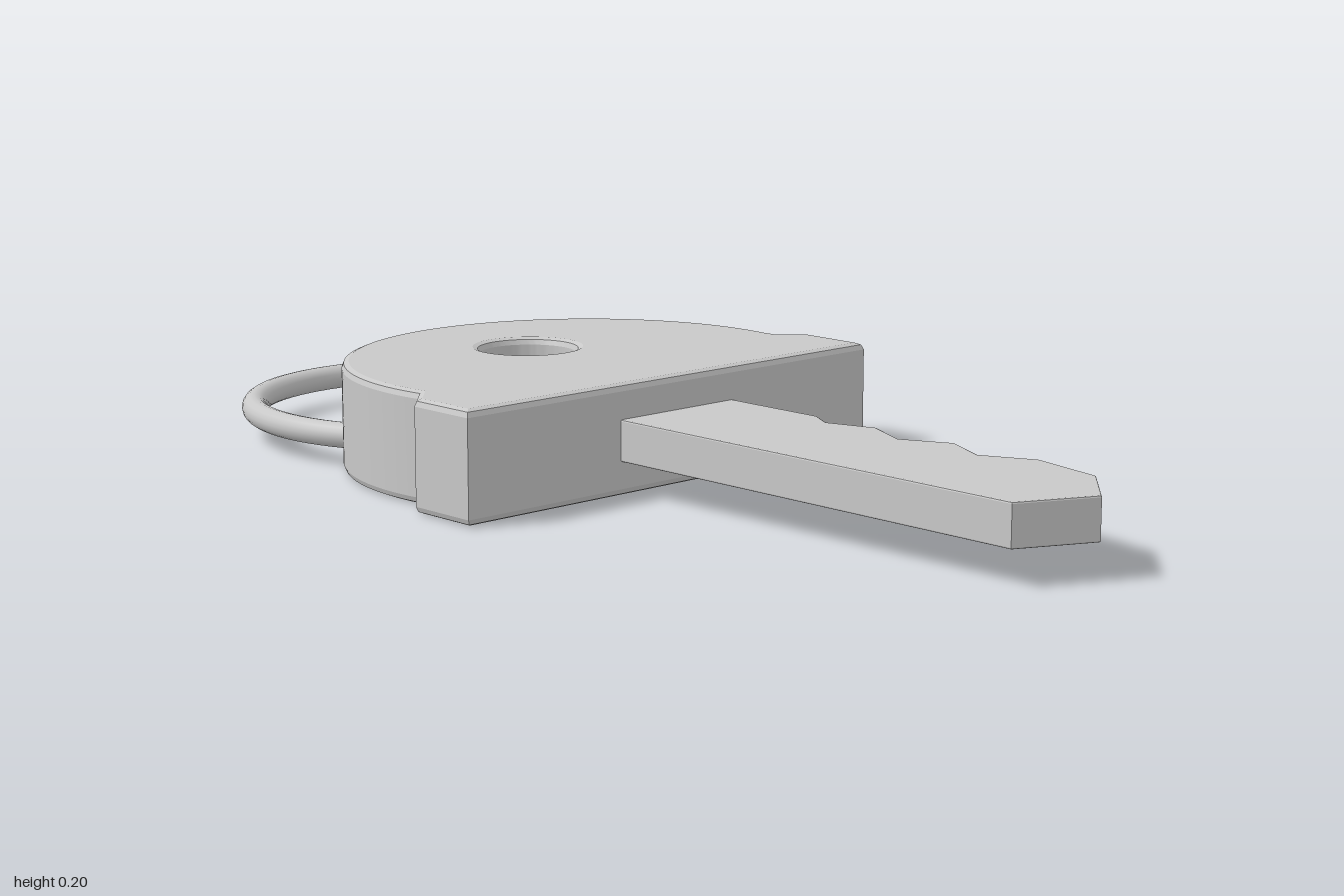
import * as THREE from 'three';
import { toCreasedNormals } from 'three/addons/utils/BufferGeometryUtils.js';

// Extrudes a plan outline (shape y points to the back) upward from y0 to y1 with a soft edge
function slab(shape, y0, y1, bevel) {
  const geometry = new THREE.ExtrudeGeometry(shape, {
    depth: y1 - y0 - 2 * bevel,
    curveSegments: 48,
    bevelSize: bevel,
    bevelThickness: bevel,
    bevelOffset: -bevel,
    bevelSegments: 2,
  });
  geometry.rotateX(-Math.PI / 2).translate(0, y0 + bevel, 0);
  return toCreasedNormals(geometry, 0.35);
}

export function createModel() {
  const group = new THREE.Group();
  const metal = new THREE.MeshStandardMaterial({ color: 0xc8c8c8 });
  metal.name = 'light grey metal';

  const add = (name, geometry) => {
    const mesh = new THREE.Mesh(geometry, metal);
    mesh.name = name;
    group.add(mesh);
    return mesh;
  };

  // Rounded head with flared shoulders and a round hole
  const head = new THREE.Shape();
  head.moveTo(-0.483, -0.05);
  head.lineTo(0.483, -0.05);
  head.lineTo(0.483, 0.09);
  head.lineTo(0.436, 0.14);
  head.absarc(0, 0.2, 0.44, -0.137, Math.PI + 0.137, false);
  head.lineTo(-0.483, 0.09);
  head.closePath();
  const hole = new THREE.Path();
  hole.absarc(0, 0.355, 0.09, 0, Math.PI * 2, true);
  head.holes.push(hole);
  add('head', slab(head, 0, 0.2, 0.013));

  // Blade with teeth along its left edge, given as [x, z]
  const outline = [
    [-0.137, 0], [-0.137, 0.932], [0, 0.997], [0.108, 0.9], [0.137, 0.76],
    [0.093, 0.667], [0.137, 0.578], [0.094, 0.49], [0.137, 0.4],
    [0.108, 0.31], [0.137, 0.26], [0.137, 0],
  ];
  const blade = new THREE.Shape(outline.map(([x, z]) => new THREE.Vector2(x, -z)));
  add('blade', slab(blade, 0.062, 0.137, 0.003));

  // Key ring lying flat and passing through the head
  const ring = add('keyRing', new THREE.TorusGeometry(0.353, 0.024, 16, 80));
  ring.rotation.x = Math.PI / 2;
  ring.position.set(0, 0.056, -0.623);

  return group;
}
